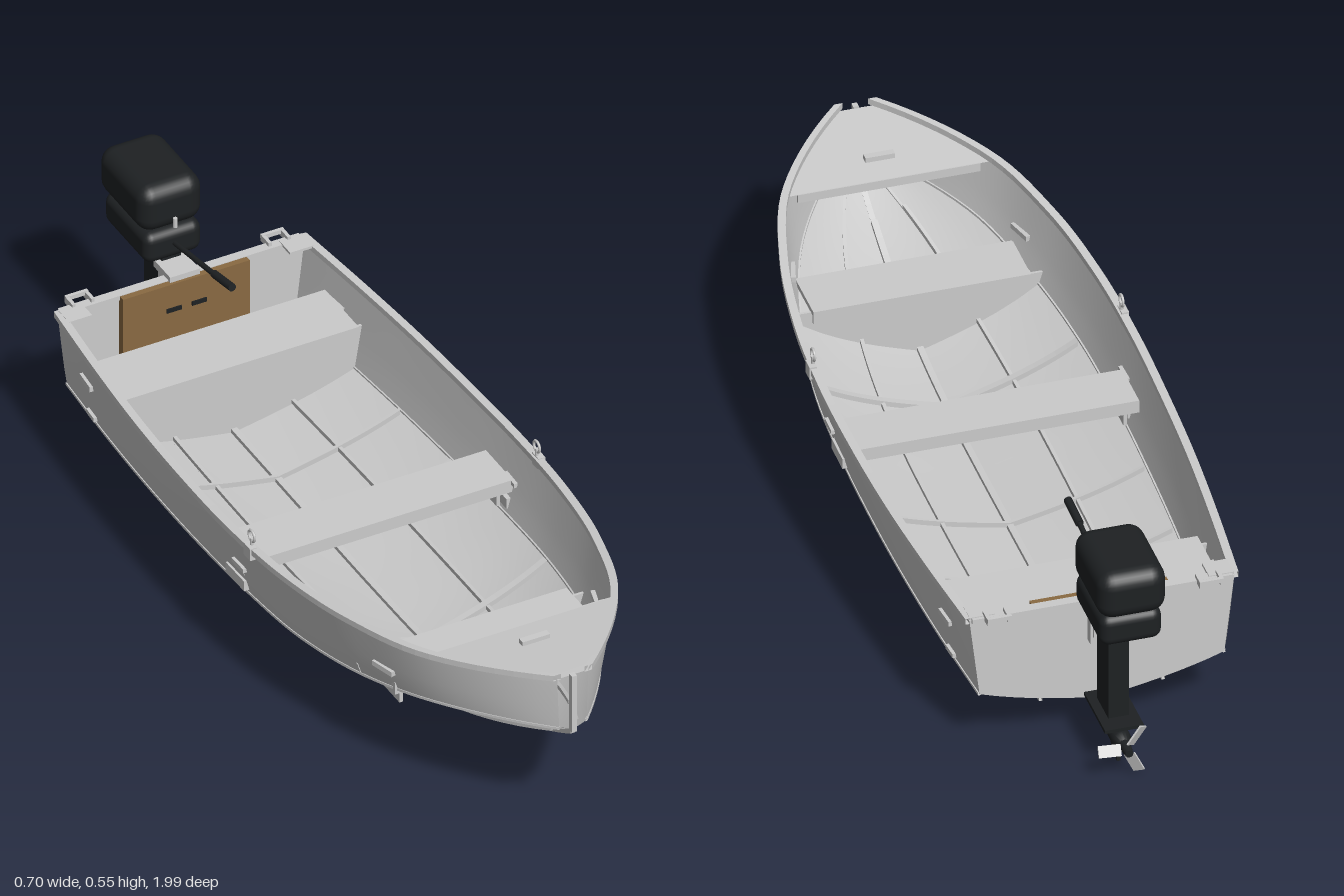
import * as THREE from 'three';
import { RoundedBoxGeometry } from 'three/addons/geometries/RoundedBoxGeometry.js';

const V = (x, y, z) => new THREE.Vector3(x, y, z);
const mat = (color) => new THREE.MeshStandardMaterial({ color, side: THREE.DoubleSide });
const grey = mat(0xcccccc), black = mat(0x1e2123), wood = mat(0x8a6a42);

// Hull lines at even stations from transom (z = STERN) to bow; the last value is past the bow
const STERN = -0.765, BOW = 0.985, STEP = (BOW - STERN) / 8;
const railX = [0.29, 0.312, 0.329, 0.338, 0.34, 0.328, 0.292, 0.215, 0.037, -0.25];
const railY = [0.335, 0.337, 0.34, 0.345, 0.354, 0.368, 0.388, 0.41, 0.433, 0.45];
const chineX = [0.268, 0.285, 0.297, 0.303, 0.303, 0.292, 0.255, 0.182, 0.032, -0.2];
const chineY = [0.145, 0.15, 0.158, 0.168, 0.182, 0.2, 0.23, 0.272, 0.3, 0.32];
const keelY = [0.083, 0.082, 0.081, 0.08, 0.08, 0.086, 0.113, 0.178, 0.288, 0.44];

function at(table, z) {
  const u = THREE.MathUtils.clamp((z - STERN) / STEP, 0, 8), i = Math.min(7, Math.floor(u)), t = u - i;
  const b = table[i], c = table[i + 1], a = i ? table[i - 1] : 2 * b - c, d = table[i + 2];
  return b + 0.5 * t * (c - a + t * (2 * a - 5 * b + 4 * c - d + t * (3 * (b - c) + d - a)));
}
// Point on the bottom: s from -1 (right chine) through 0 (keel) to 1 (left chine)
function bottom(s, z, lift = 0) {
  const t = Math.abs(s), k = at(keelY, z);
  return V(s * at(chineX, z), k + (at(chineY, z) - k) * (0.72 * t + 0.28 * t ** 3) + lift, z);
}
// Point on a side: t from 0 (chine) to 1 (rail)
function side(sign, t, z) {
  const x = THREE.MathUtils.lerp(at(chineX, z), at(railX, z), t ** 0.85);
  return V(sign * x, THREE.MathUtils.lerp(at(chineY, z), at(railY, z), t), z);
}

function grid(fn, nu, nv) {
  const pos = [], index = [];
  for (let i = 0; i <= nu; i++) for (let j = 0; j <= nv; j++) {
    pos.push(...fn(i / nu, j / nv).toArray());
    if (i < nu && j < nv) {
      const a = i * (nv + 1) + j, b = a + nv + 1;
      index.push(a, b, a + 1, b, b + 1, a + 1);
    }
  }
  const g = new THREE.BufferGeometry();
  g.setAttribute('position', new THREE.Float32BufferAttribute(pos, 3));
  g.setIndex(index);
  g.computeVertexNormals();
  return g;
}
// Rectangular bar along a path; across is the direction of its width, up is y
function bar(fn, n, across, w, h) {
  const corners = [[-1, -1], [1, -1], [1, 1], [-1, 1], [-1, -1]];
  const g = grid((u, v) => {
    const [a, b] = corners[Math.round(v * 4)];
    return fn(u).clone().addScaledVector(across, a * w / 2).add(V(0, b * h / 2, 0));
  }, n, 4).toNonIndexed();
  g.computeVertexNormals();
  return g;
}
// Plate filling the hull section at z up to height top
function sectionPlate(z, top, depth) {
  const half = [];
  for (let i = 0; i <= 6; i++) half.push(bottom(i / 6, z));
  const t = (top - at(chineY, z)) / (at(railY, z) - at(chineY, z));
  half.push(side(1, t, z));
  const pts = [...half, ...half.slice(1).reverse().map((p) => V(-p.x, p.y, z))];
  const shape = new THREE.Shape(pts.map((p) => new THREE.Vector2(p.x, p.y)));
  return new THREE.ExtrudeGeometry(shape, { depth, bevelEnabled: false }).translate(0, 0, z);
}

export function createModel() {
  const boat = new THREE.Group();
  boat.name = 'motorBoat';
  const add = (name, geometry, material = grey, parent = boat) => {
    const m = new THREE.Mesh(geometry, material);
    m.name = name;
    parent.add(m);
    return m;
  };
  const box = (name, w, h, d, x, y, z, material = grey, parent = boat) =>
    add(name, new THREE.BoxGeometry(w, h, d).translate(x, y, z), material, parent);
  const zAt = (u) => THREE.MathUtils.lerp(STERN, BOW, u);
  const X = V(1, 0, 0), Z = V(0, 0, 1);

  // Hull skin, rails, strakes and side fittings, mirrored
  for (const s of [1, -1]) {
    const tag = s > 0 ? 'left' : 'right';
    add(tag + 'Bottom', grid((u, v) => bottom(s * v, zAt(u)), 56, 8));
    add(tag + 'Side', grid((u, v) => side(s, v, zAt(u)), 56, 5));
    add(tag + 'Rail', bar((u) => side(s, 1, zAt(u)), 56, X, 0.018, 0.014));
    add(tag + 'ChineStrip', bar((u) => side(s, 0, zAt(u)), 56, X, 0.006, 0.006));
    add(tag + 'Strake', bar((u) => bottom(s * 0.5, zAt(u * 0.98), -0.003), 40, X, 0.008, 0.008));
    add(tag + 'FloorStringer', bar((u) => bottom(s * 0.49, -0.75 + u * 1.6, 0.006), 40, X, 0.008, 0.01));

    // Small plates and grips on the outer side: z, t, length, height
    for (const [z, t, len, h] of [[0.62, 0.36, 0.06, 0.012], [0.11, 0.45, 0.05, 0.01],
      [-0.62, 0.55, 0.055, 0.012], [0.08, 0.16, 0.08, 0.025], [-0.62, 0.08, 0.04, 0.01]]) {
      const fitting = box(tag + 'SideFitting', 0.016, h, len, 0, 0, 0);
      const a = side(s, t, z - 0.03), b = side(s, t, z + 0.03);
      fitting.position.copy(side(s, t, z));
      fitting.rotation.y = Math.atan2(b.x - a.x, b.z - a.z);
    }
    // Spray wedge near the bow
    const wedge = new THREE.Shape([[0, 0], [0.085, 0.01], [0.085, 0.026]].map((p) => new THREE.Vector2(...p)));
    const fin = add(tag + 'SprayWedge', new THREE.ExtrudeGeometry(wedge, { depth: 0.03, bevelEnabled: false })
      .translate(0, 0, -0.015));
    fin.position.copy(bottom(s * 0.78, 0.56)).add(V(s * 0.005, 0, 0));
    fin.rotation.y = -Math.PI / 2 - s * 0.5;

    // Oarlock: socket, pin and ring
    const lock = new THREE.Group();
    lock.name = tag + 'Oarlock';
    lock.position.copy(side(s, 1, 0.19));
    boat.add(lock);
    box('socket', 0.016, 0.03, 0.03, s * 0.004, -0.005, 0, grey, lock);
    add('pin', new THREE.CylinderGeometry(0.004, 0.004, 0.03, 8).translate(0, 0.012, 0), grey, lock);
    add('ring', new THREE.TorusGeometry(0.013, 0.003, 6, 16).rotateY(Math.PI / 2).translate(0, 0.032, 0), grey, lock);

    // Transom corner handle
    for (const x of [0.21, 0.255]) box(tag + 'HandlePost', 0.008, 0.016, 0.035, s * x, 0.342, -0.775);
    box(tag + 'HandleGrip', 0.053, 0.01, 0.008, s * 0.232, 0.346, -0.79);
    box(tag + 'CornerPlate', 0.055, 0.006, 0.05, s * 0.262, 0.34, -0.74);
  }

  // Keel and stem
  add('keel', bar((u) => bottom(0, zAt(u), -0.004), 56, X, 0.012, 0.014));
  box('stemPost', 0.012, 0.145, 0.014, 0, 0.357, BOW + 0.001);
  add('innerKeel', bar((u) => bottom(0, -0.75 + u * 1.6, 0.006), 40, X, 0.014, 0.01));

  // Transom with wooden motor board
  add('transom', sectionPlate(STERN, 0.335, 0.01));
  box('transomCap', 0.57, 0.012, 0.022, 0, 0.335, STERN + 0.004);
  box('motorBoard', 0.3, 0.155, 0.018, 0, 0.262, STERN + 0.02, wood);
  for (const x of [-0.03, 0.03]) box('boardSlot', 0.035, 0.01, 0.004, x, 0.275, STERN + 0.03, black);

  // Floor ribs
  for (const [z, w] of [[-0.33, 0.008], [-0.11, 0.008], [0.33, 0.016]])
    add('floorRib', bar((u) => bottom((u * 2 - 1) * 0.97, z, 0.008), 24, Z, w, 0.012));

  // Bench seats
  const seatTop = 0.265;
  for (const [name, z0, z1, half] of [['rearSeat', -0.66, -0.51, 0.288],
    ['middleSeat', 0, 0.12, 0.318], ['frontSeat', 0.51, 0.64, 0.238]]) {
    box(name, half * 2, 0.012, z1 - z0, 0, seatTop - 0.006, (z0 + z1) / 2);
    for (const z of [z0 + 0.004, z1 - 0.004]) box(name + 'Lip', half * 2, 0.03, 0.008, 0, seatTop - 0.015, z);
    for (const s of [1, -1]) box(name + 'Bracket', 0.008, 0.06, (z1 - z0) * 0.7, s * (half - 0.025), seatTop - 0.04, (z0 + z1) / 2);
  }
  add('rearBulkhead', sectionPlate(-0.53, seatTop - 0.01, 0.006));
  add('frontBulkhead', sectionPlate(0.525, seatTop - 0.01, 0.006));

  // Bow deck with grip
  add('bowDeck', grid((u, v) => {
    const z = 0.745 + u * 0.235;
    return V((v * 2 - 1) * at(railX, z) * 0.97, at(railY, z) - 0.008, z);
  }, 12, 2));
  box('deckLip', 0.4, 0.02, 0.006, 0, 0.39, 0.747);
  box('deckGrip', 0.065, 0.012, 0.016, 0, 0.412, 0.815);

  // Outboard motor
  const motor = new THREE.Group();
  motor.name = 'outboardMotor';
  boat.add(motor);
  const part = (name, geo, material = black) => add(name, geo, material, motor);
  part('upperCowl', new RoundedBoxGeometry(0.15, 0.113, 0.21, 3, 0.035).translate(0, 0.491, -0.895));
  part('lowerCowl', new RoundedBoxGeometry(0.136, 0.075, 0.195, 3, 0.022).translate(0, 0.398, -0.885));
  box('leg', 0.045, 0.27, 0.08, 0, 0.235, -0.843, black, motor);
  box('ventPlate', 0.085, 0.008, 0.15, 0, 0.107, -0.85, black, motor);
  box('lowerLeg', 0.022, 0.045, 0.075, 0, 0.085, -0.845, black, motor);
  const gearProfile = [[0, -0.075], [0.012, -0.068], [0.021, -0.045], [0.021, 0.03], [0.014, 0.065], [0, 0.07]];
  part('gearCase', new THREE.LatheGeometry(gearProfile.map((p) => new THREE.Vector2(...p)), 16)
    .rotateX(Math.PI / 2).translate(0, 0.067, -0.86));
  const skeg = new THREE.Shape([[0.8, 0.06], [0.89, 0.06], [0.885, 0.0], [0.855, 0.004]].map((p) => new THREE.Vector2(...p)));
  part('skeg', new THREE.ExtrudeGeometry(skeg, { depth: 0.008, bevelEnabled: false })
    .translate(0, 0, -0.004).rotateY(Math.PI / 2));

  // Propeller
  part('propellerHub', new THREE.CylinderGeometry(0.014, 0.009, 0.04, 12).rotateX(Math.PI / 2).translate(0, 0.067, -0.94));
  for (let i = 0; i < 3; i++) {
    const blade = part('propellerBlade', new THREE.BoxGeometry(0.05, 0.026, 0.004).rotateX(0.6).translate(0.038, 0, 0), grey);
    blade.position.set(0, 0.067, -0.942);
    blade.rotation.z = 0.08 + i * Math.PI * 2 / 3;
  }

  // Clamp over the transom, tiller and starter pull
  box('clampTop', 0.07, 0.018, 0.075, 0, 0.344, -0.78, grey, motor);
  for (const s of [1, -1]) box('clampArm', 0.014, 0.1, 0.022, s * 0.028, 0.295, -0.787, grey, motor);
  box('clampBack', 0.06, 0.05, 0.015, 0, 0.29, -0.797, grey, motor);
  const rod = (name, a, b, r, material) => {
    const d = b.clone().sub(a), m = part(name, new THREE.CylinderGeometry(r, r, d.length(), 10), material);
    m.position.copy(a).addScaledVector(d, 0.5);
    m.quaternion.setFromUnitVectors(V(0, 1, 0), d.normalize());
  };
  rod('tiller', V(0, 0.4, -0.8), V(0.004, 0.43, -0.61), 0.006, black);
  rod('tillerGrip', V(0.004, 0.429, -0.62), V(0.007, 0.441, -0.545), 0.009, black);
  rod('starterPull', V(0, 0.445, -0.786), V(0, 0.468, -0.786), 0.005, grey);
  return boat;
}
